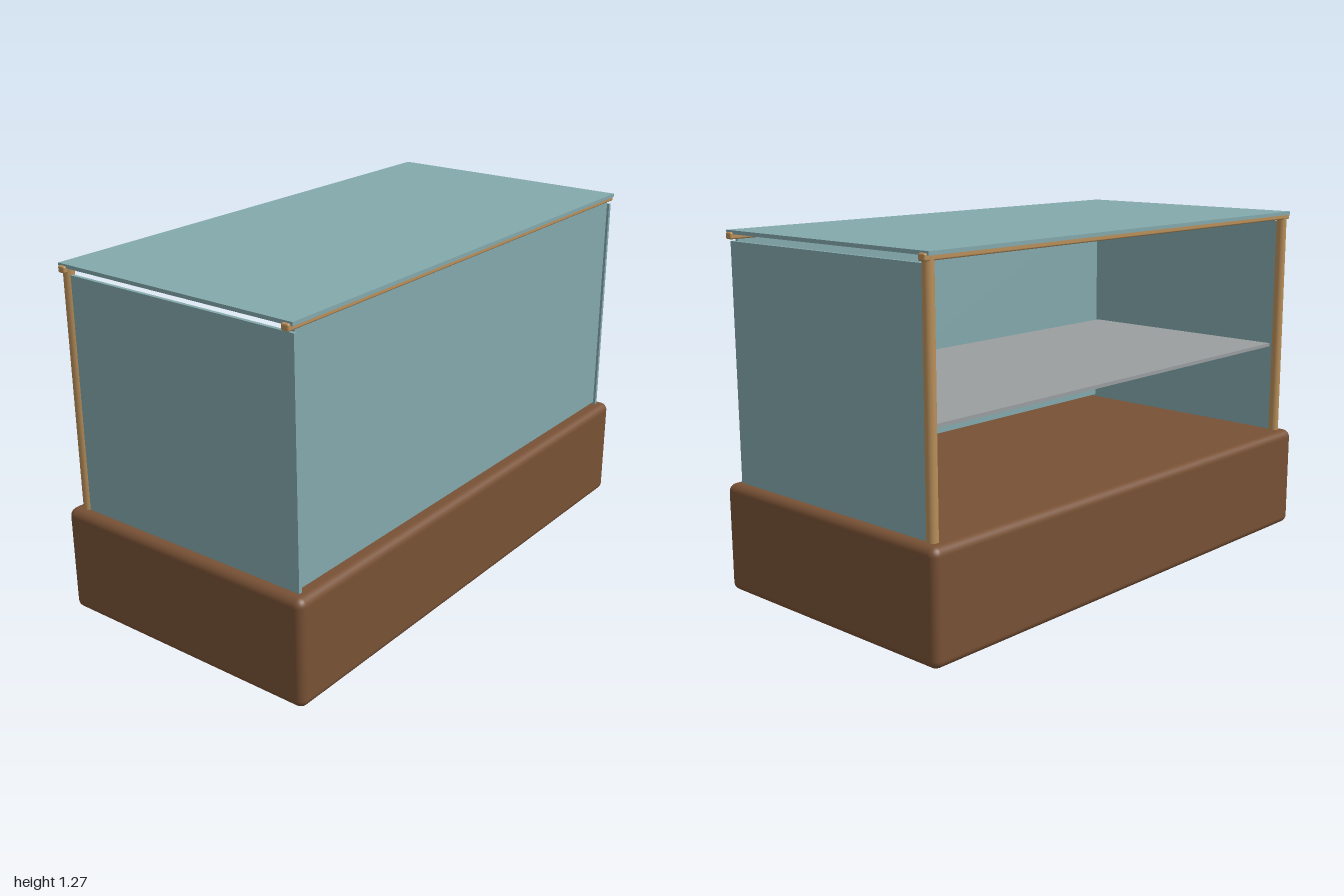
import * as THREE from 'three';
import { RoundedBoxGeometry } from 'three/addons/geometries/RoundedBoxGeometry.js';

export function createModel() {
  const model = new THREE.Group();
  model.name = 'displayCase';

  const material = (name, color) => {
    const m = new THREE.MeshStandardMaterial({ color });
    m.name = name;
    return m;
  };
  const wood = material('brownWood', 0x785135);
  const brass = material('brass', 0xb98f5a);
  const glass = material('tealGlass', 0x84a9ad);
  const grey = material('greyShelf', 0x9a9ea0);

  const add = (name, geometry, mat, x, y, z) => {
    const mesh = new THREE.Mesh(geometry, mat);
    mesh.name = name;
    mesh.position.set(x, y, z);
    model.add(mesh);
    return mesh;
  };
  // Panel given by its lower and upper corners
  const panel = (name, mat, [x0, y0, z0], [x1, y1, z1]) =>
    add(name, new THREE.BoxGeometry(x1 - x0, y1 - y0, z1 - z0), mat,
      (x0 + x1) / 2, (y0 + y1) / 2, (z0 + z1) / 2);

  // Solid base with soft edges
  add('base', new RoundedBoxGeometry(2, 0.39, 1.046, 5, 0.03), wood, 0, 0.195, 0);

  // Glass panes: front, top and both sides; the back stays open
  panel('frontPane', glass, [-0.945, 0.398, 0.464], [0.945, 1.242, 0.476]);
  panel('topPane', glass, [-0.97, 1.255, -0.49], [0.97, 1.268, 0.49]);
  for (const s of [-1, 1]) {
    const side = s > 0 ? 'left' : 'right';
    add(side + 'Pane', new THREE.BoxGeometry(0.013, 0.842, 0.945), glass, s * 0.952, 0.809, 0.0125);
    // Round rear post
    add(side + 'RearPost', new THREE.CylinderGeometry(0.019, 0.019, 0.87, 24), brass,
      s * 0.95, 0.822, -0.465);
  }

  // Rails under the front and back edges of the top
  for (const s of [-1, 1]) {
    add(s > 0 ? 'frontRail' : 'backRail', new RoundedBoxGeometry(1.96, 0.024, 0.03, 3, 0.006),
      brass, 0, 1.25, s * 0.468);
  }

  // Inner shelf
  panel('shelf', grey, [-0.945, 0.728, -0.435], [0.945, 0.741, 0.455]);

  return model;
}
